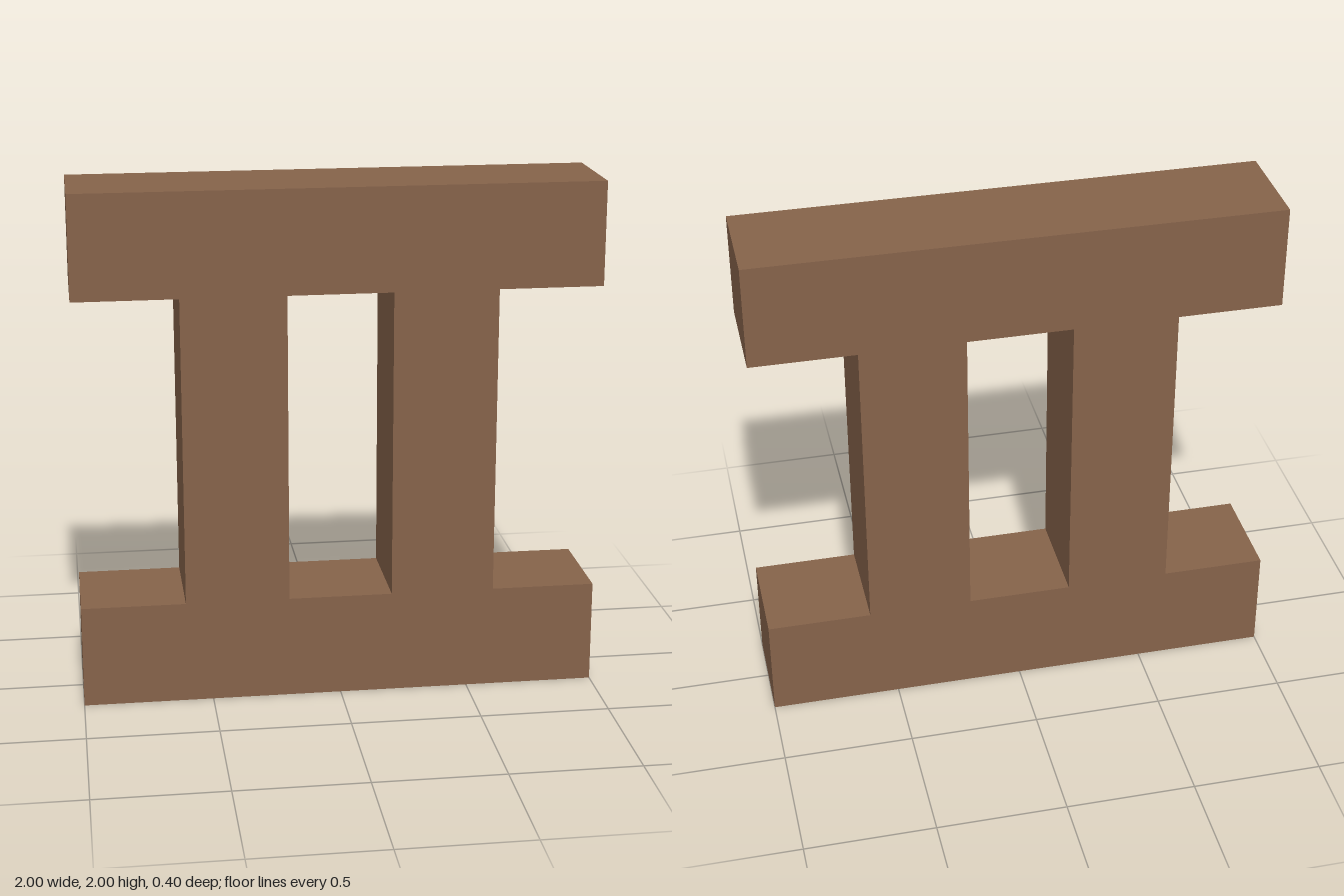
import * as THREE from 'three';

const HALF_WIDTH = 1, HEIGHT = 2, DEPTH = 0.4, BAR = 0.4;
const POST_INNER = 0.2, POST_OUTER = 0.6;

// Closed outline from a list of corners
const outline = (Type, corners) => new Type(corners.map(([x, y]) => new THREE.Vector2(x, y)));

export function createModel() {
  const group = new THREE.Group();
  group.name = 'twinPostFrame';
  const brown = new THREE.MeshStandardMaterial({ color: 0x86634a });
  brown.name = 'brown';

  // Right half of the silhouette, mirrored for the left: two bars joined by posts
  const top = HEIGHT - BAR;
  const side = [[HALF_WIDTH, 0], [HALF_WIDTH, BAR], [POST_OUTER, BAR],
    [POST_OUTER, top], [HALF_WIDTH, top], [HALF_WIDTH, HEIGHT]];
  const mirrored = side.map(([x, y]) => [-x, y]).reverse();
  const shape = outline(THREE.Shape, [...side, ...mirrored]);

  // Opening between the posts
  shape.holes.push(outline(THREE.Path, [[-POST_INNER, BAR], [-POST_INNER, top],
    [POST_INNER, top], [POST_INNER, BAR]]));

  const geometry = new THREE.ExtrudeGeometry(shape, { depth: DEPTH, bevelEnabled: false });
  geometry.translate(0, 0, -DEPTH / 2);
  const frame = new THREE.Mesh(geometry, brown);
  frame.name = 'barsAndPosts';
  group.add(frame);
  return group;
}
